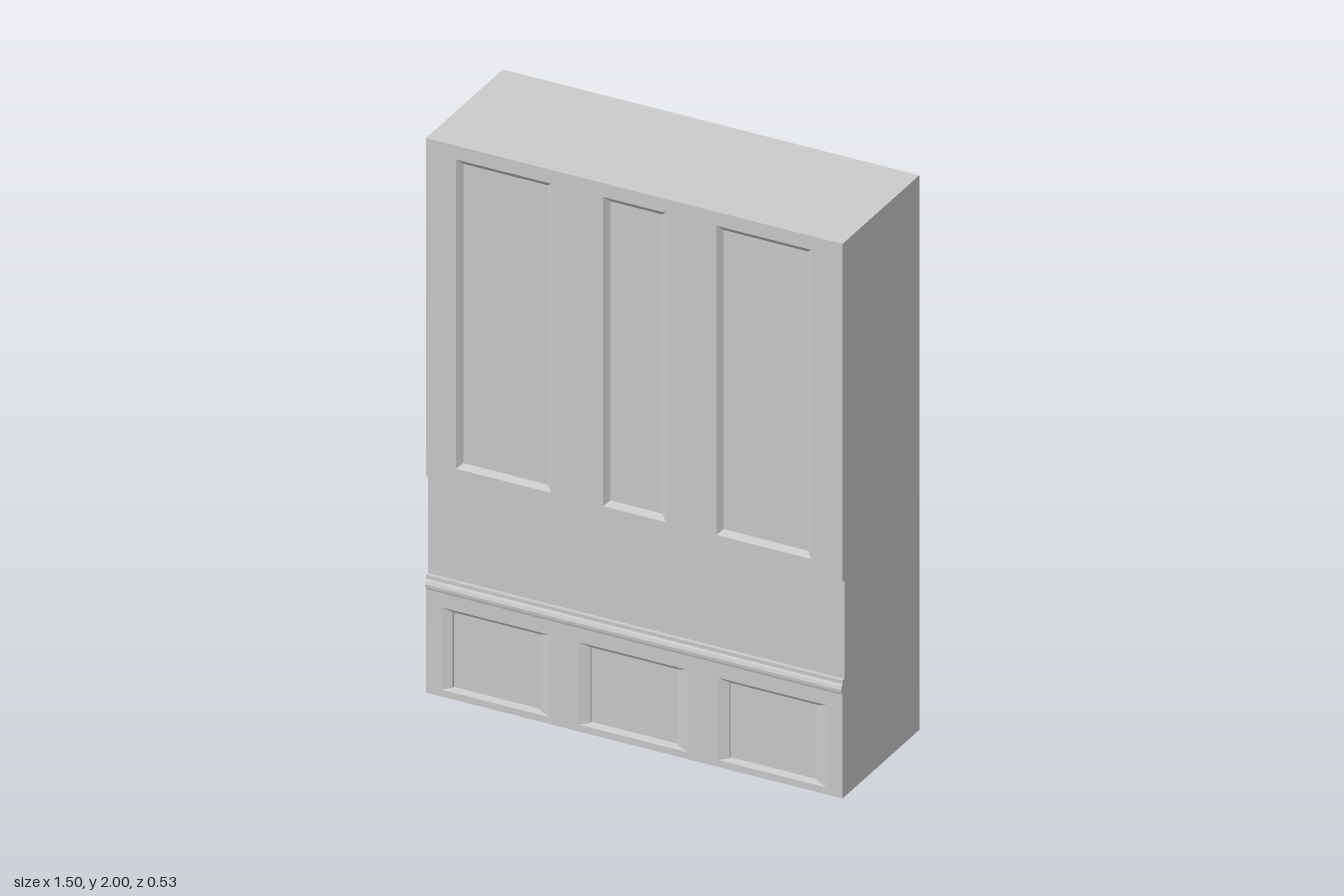
import * as THREE from 'three';

const W = 0.748, BACK = -0.263, FACE = 0.254, NICHE = 0.24;
const material = new THREE.MeshStandardMaterial({ color: 0xcccccc, flatShading: true, side: THREE.DoubleSide });

function addMesh(parent, name, geometry) {
  const mesh = new THREE.Mesh(geometry, material);
  mesh.name = name;
  parent.add(mesh);
  return mesh;
}

// Flat four-cornered faces, corners counter-clockwise from outside
function quads(list) {
  const pos = [];
  for (const [a, b, c, d] of list) pos.push(...a, ...b, ...c, ...a, ...c, ...d);
  const g = new THREE.BufferGeometry();
  g.setAttribute('position', new THREE.Float32BufferAttribute(pos, 3));
  g.computeVertexNormals();
  return g;
}

// Sweep a [z, y] polyline across the full width
function sweep(points) {
  const list = [];
  for (let i = 0; i + 1 < points.length; i++) {
    const [z0, y0] = points[i], [z1, y1] = points[i + 1];
    list.push([[-W, y0, z0], [W, y0, z0], [W, y1, z1], [-W, y1, z1]]);
  }
  return quads(list);
}

// Corners of a rectangle { x0, x1, y0, y1 } inset by dx, dy at depth z
function ring(r, dx, dy, z) {
  return [
    [r.x0 + dx, r.y0 + dy, z], [r.x1 - dx, r.y0 + dy, z],
    [r.x1 - dx, r.y1 - dy, z], [r.x0 + dx, r.y1 - dy, z],
  ];
}

// Sunk panel: sloped or stepped borders between rings, then a flat floor
function sunkPanel(r, steps) {
  const rings = [[0, 0, 0], ...steps].map(([dx, dy, depth]) => ring(r, dx, dy, FACE - depth));
  const list = [];
  for (let i = 0; i + 1 < rings.length; i++) {
    for (let k = 0; k < 4; k++) {
      const n = (k + 1) % 4;
      list.push([rings[i][k], rings[i][n], rings[i + 1][n], rings[i + 1][k]]);
    }
  }
  list.push(rings[rings.length - 1]);
  return quads(list);
}

// Front board with rectangular openings, each filled by a sunk panel
function panelledFront(name, y0, y1, openings, steps) {
  const group = new THREE.Group();
  group.name = name;
  const toPoints = (r) => ring(r, 0, 0, 0).map(([x, y]) => new THREE.Vector2(x, y));
  const board = new THREE.Shape(toPoints({ x0: -W, x1: W, y0, y1 }));
  for (const r of openings) board.holes.push(new THREE.Path(toPoints(r).reverse()));
  addMesh(group, name + 'Board', new THREE.ShapeGeometry(board).translate(0, 0, FACE));
  openings.forEach((r, i) => addMesh(group, name + 'Panel' + (i + 1), sunkPanel(r, steps)));
  return group;
}

export function createModel() {
  const model = new THREE.Group();
  model.name = 'panelledCabinet';

  // Counter edge moulding and the shallow niche above it, as [z, y] profiles
  const moulding = [
    [FACE, 0.373], [0.257, 0.382], [0.262, 0.385], [0.263, 0.395],
    [0.259, 0.406], [FACE, 0.412], [FACE, 0.425], [NICHE, 0.425],
  ];
  const niche = [[NICHE, 0.425], [NICHE, 0.78], [FACE, 0.78]];
  const carcass = [[FACE, 2], [BACK, 2], [BACK, 0], [FACE, 0]];
  addMesh(model, 'counterMoulding', sweep(moulding));
  addMesh(model, 'niche', sweep(niche));
  addMesh(model, 'topBackAndBase', sweep(carcass));

  // End walls follow the whole outline
  const outline = new THREE.Shape([...moulding, ...niche.slice(1), ...carcass].map(([z, y]) => new THREE.Vector2(z, y)));
  const wall = new THREE.ShapeGeometry(outline);
  addMesh(model, 'rightWall', wall.clone().rotateY(-Math.PI / 2).translate(-W, 0, 0));
  addMesh(model, 'leftWall', wall.clone().scale(-1, 1, 1).rotateY(Math.PI / 2).translate(W, 0, 0));
  // Mirroring reverses the corner order, so turn those faces outward again
  const index = model.getObjectByName('leftWall').geometry.index;
  index.array.reverse();
  model.getObjectByName('leftWall').geometry.computeVertexNormals();

  // Tall upper doors: wide, narrow, wide
  const upper = [[-0.64, -0.30], [-0.112, 0.112], [0.295, 0.635]]
    .map(([x0, x1]) => ({ x0, x1, y0: 0.835, y1: 1.95 }));
  model.add(panelledFront('upperFront', 0.78, 2, upper, [[0.018, 0.018, 0.015]]));

  // Three lower doors with a wide shallow slope and a small inner step
  const lower = [[-0.695, -0.305], [-0.2, 0.19], [0.3, 0.69]]
    .map(([x0, x1]) => ({ x0, x1, y0: 0.025, y1: 0.322 }));
  model.add(panelledFront('lowerFront', 0, 0.373, lower, [[0.038, 0.012, 0.008], [0.039, 0.013, 0.014]]));

  return model;
}
